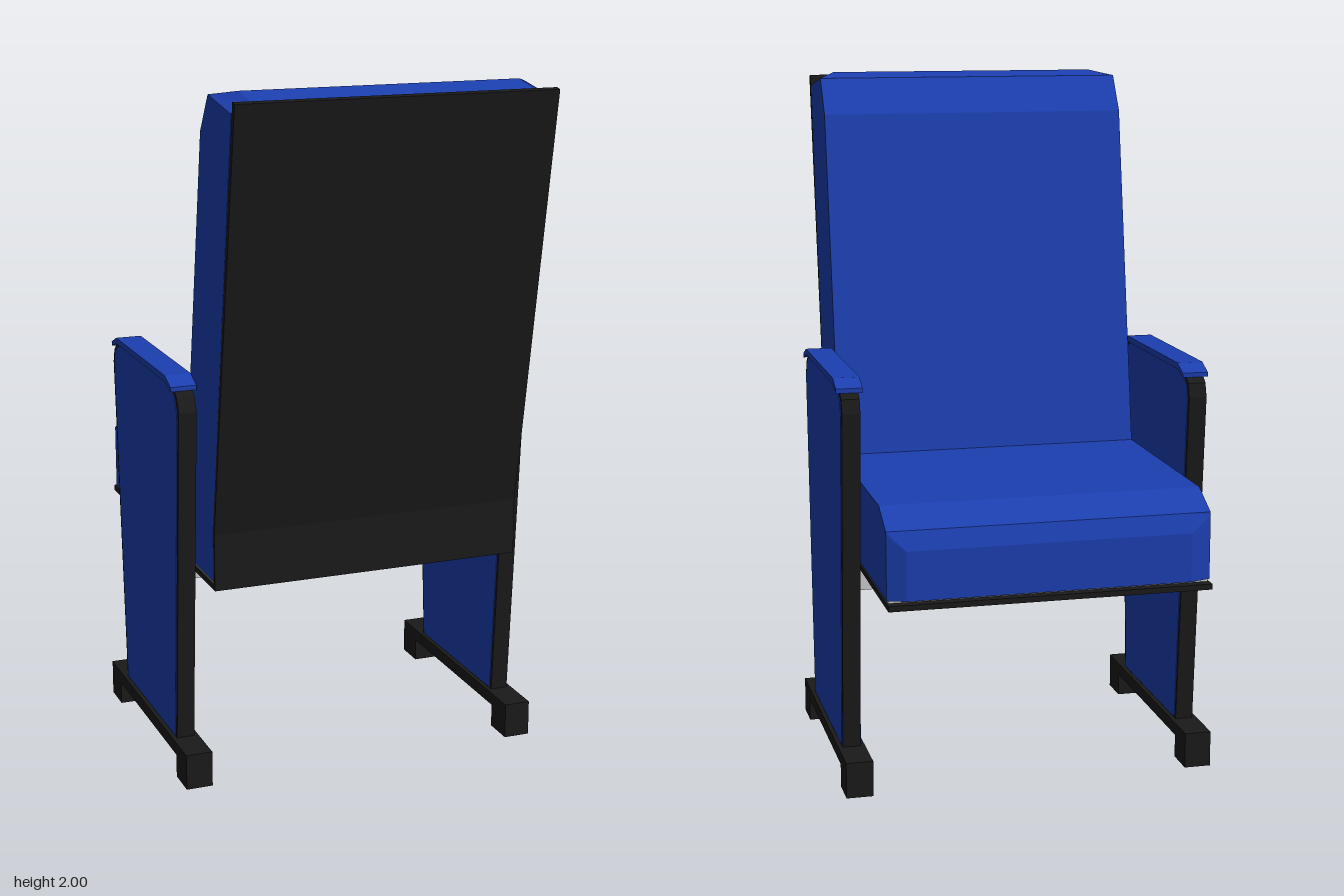
import * as THREE from 'three';

const mat = (color) => new THREE.MeshStandardMaterial({ color, flatShading: true });
const blue = mat(0x1c3fb0), black = mat(0x1a1a1a), grey = mat(0xcccccc);

// Lofts [z, y] outlines placed at successive x positions and caps both ends.
function loft(name, material, sections) {
  const pos = [];
  const rings = sections.map(([x, pts]) => {
    const ring = pts.map(([z, y]) => new THREE.Vector2(-z, y));
    if (THREE.ShapeUtils.isClockWise(ring)) ring.reverse();
    return { x, ring };
  });
  const put = ({ x, ring }, i) => pos.push(x, ring[i].y, -ring[i].x);
  for (let s = 0; s < rings.length - 1; s++) {
    const A = rings[s], B = rings[s + 1], n = A.ring.length;
    for (let i = 0; i < n; i++) {
      const j = (i + 1) % n;
      put(A, i); put(A, j); put(B, j);
      put(A, i); put(B, j); put(B, i);
    }
  }
  const first = rings[0], last = rings[rings.length - 1];
  for (const [a, b, c] of THREE.ShapeUtils.triangulateShape(first.ring, [])) {
    put(first, a); put(first, c); put(first, b);
  }
  for (const [a, b, c] of THREE.ShapeUtils.triangulateShape(last.ring, [])) {
    put(last, a); put(last, b); put(last, c);
  }
  const geo = new THREE.BufferGeometry();
  geo.setAttribute('position', new THREE.Float32BufferAttribute(pos, 3));
  geo.computeVertexNormals();
  const mesh = new THREE.Mesh(geo, material);
  mesh.name = name;
  return mesh;
}

// Box given by its limits on each axis.
function box(name, material, [x0, x1], [y0, y1], [z0, z1]) {
  const mesh = new THREE.Mesh(new THREE.BoxGeometry(x1 - x0, y1 - y0, z1 - z0), material);
  mesh.position.set((x0 + x1) / 2, (y0 + y1) / 2, (z0 + z1) / 2);
  mesh.name = name;
  return mesh;
}

const L = -0.465, R = 0.457, IN = 0.405;

// Cushion whose end narrows and bulges between the side edges.
const cushion = (name, edge, middle) =>
  loft(name, blue, [[L, edge], [-IN, middle], [IN, middle], [R, edge]]);

function makeSide(sign) {
  const side = new THREE.Group();
  side.name = sign > 0 ? 'leftSide' : 'rightSide';
  const c = sign * 0.505;
  const slab = (name, m, half, pts) => loft(name, m, [[c - half, pts], [c + half, pts]]);

  // Tapered upright with blue faces inset in a black rim
  const outline = [
    [0.235, 0.1], [0.306, 1.1], [0.29, 1.14], [0.265, 1.16], [0.22, 1.178],
    [-0.265, 1.178], [-0.31, 1.16], [-0.335, 1.14], [-0.347, 1.1], [-0.275, 0.1],
  ];
  const inset = outline.map(([z, y]) => [-0.02 + (z + 0.02) * 0.963, 0.64 + (y - 0.64) * 0.986]);
  side.add(slab('sideFrame', black, 0.026, outline));
  side.add(slab('sidePanel', blue, 0.028, inset));

  // Arm pad bent down at both ends
  side.add(slab('armPad', blue, 0.038, [
    [0.272, 1.155], [0.272, 1.168], [0.22, 1.19], [-0.27, 1.19],
    [-0.32, 1.168], [-0.32, 1.155], [-0.27, 1.172], [0.22, 1.172],
  ]));

  // Base bar and feet
  const w = [c - 0.039, c + 0.039];
  side.add(box('baseBar', black, w, [0.068, 0.105], [-0.405, 0.363]));
  side.add(box('rearFoot', black, w, [0, 0.068], [0.267, 0.363]));
  side.add(box('frontFoot', black, w, [0, 0.068], [-0.405, -0.31]));
  return side;
}

export function createModel() {
  const chair = new THREE.Group();
  chair.name = 'auditoriumChair';

  chair.add(cushion('seatCushion',
    [[0.17, 0.63], [0.17, 0.872], [-0.487, 0.872], [-0.587, 0.823], [-0.588, 0.815], [-0.588, 0.63]],
    [[0.17, 0.63], [0.17, 0.872], [-0.487, 0.872], [-0.587, 0.823], [-0.608, 0.77], [-0.608, 0.63]]));

  chair.add(cushion('backCushion',
    [[0.12, 0.63], [0.156, 0.872], [0.33, 1.88], [0.398, 1.985], [0.406, 1.984], [0.587, 1.955], [0.394, 0.78], [0.394, 0.63]],
    [[0.12, 0.63], [0.156, 0.872], [0.33, 1.88], [0.398, 1.985], [0.475, 2.0], [0.592, 1.977], [0.394, 0.78], [0.394, 0.63]]));

  // Rear shell: upright at the bottom, then leaning back
  const shell = [
    [0.398, 0.606], [0.404, 0.606], [0.404, 0.77], [0.615, 1.983], [0.597, 1.987], [0.398, 0.81],
  ];
  chair.add(loft('backShell', black, [[L, shell], [R, shell]]));

  chair.add(box('seatPan', black, [L, R], [0.606, 0.622], [-0.615, 0.404]));
  chair.add(box('seatSpacer', grey, [L + 0.005, R - 0.005], [0.622, 0.63], [-0.585, 0.39]));
  chair.add(box('crossBeam', grey, [-0.482, 0.482], [0.512, 0.606], [-0.07, 0.03]));

  chair.add(makeSide(1), makeSide(-1));
  return chair;
}
